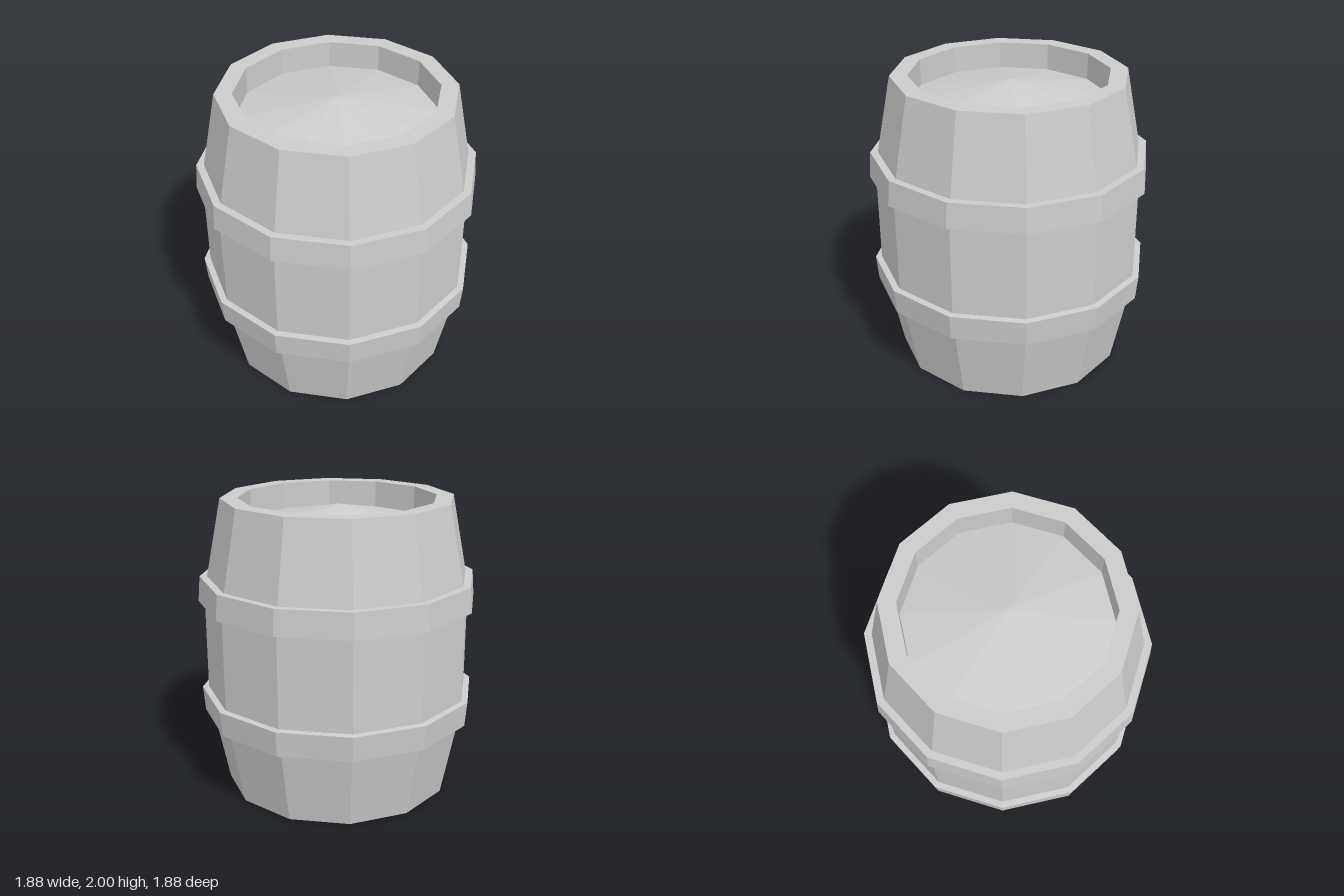
import * as THREE from 'three';

const SIDES = 12;
const material = new THREE.MeshStandardMaterial({ color: 0xcccccc, flatShading: true });

function addPart(group, name, geometry) {
  const mesh = new THREE.Mesh(geometry, material);
  mesh.name = name;
  group.add(mesh);
  return mesh;
}

// Faceted ring surface from [radius, height] pairs, listed bottom outside to top inside
function lathe(profile) {
  return new THREE.LatheGeometry(profile.map(([r, y]) => new THREE.Vector2(r, y)), SIDES);
}

export function createModel() {
  const barrel = new THREE.Group();
  barrel.name = 'barrel';

  // Staves, flat rim and the inner wall of the recess
  addPart(barrel, 'staves', lathe([
    [0.775, 0], [0.9, 0.63], [0.9, 1.37], [0.775, 2], [0.66, 2], [0.66, 1.82],
  ]));

  // Flat base
  addPart(barrel, 'base', new THREE.CircleGeometry(0.775, SIDES).rotateX(Math.PI / 2));

  // Shallow pointed lid inside the rim
  const lid = addPart(barrel, 'lid', new THREE.ConeGeometry(0.66, 0.13, SIDES, 1, true));
  lid.position.y = 1.885;

  // Hoops, mirrored about mid-height; the wider edge faces the middle
  const hoop = [[0.89, 0.305], [0.942, 0.31], [0.928, 0.48], [0.87, 0.48]];
  addPart(barrel, 'upperHoop', lathe(hoop.map(([r, d]) => [r, 1 + d])));
  addPart(barrel, 'lowerHoop', lathe(hoop.map(([r, d]) => [r, 1 - d]).reverse()));

  return barrel;
}
